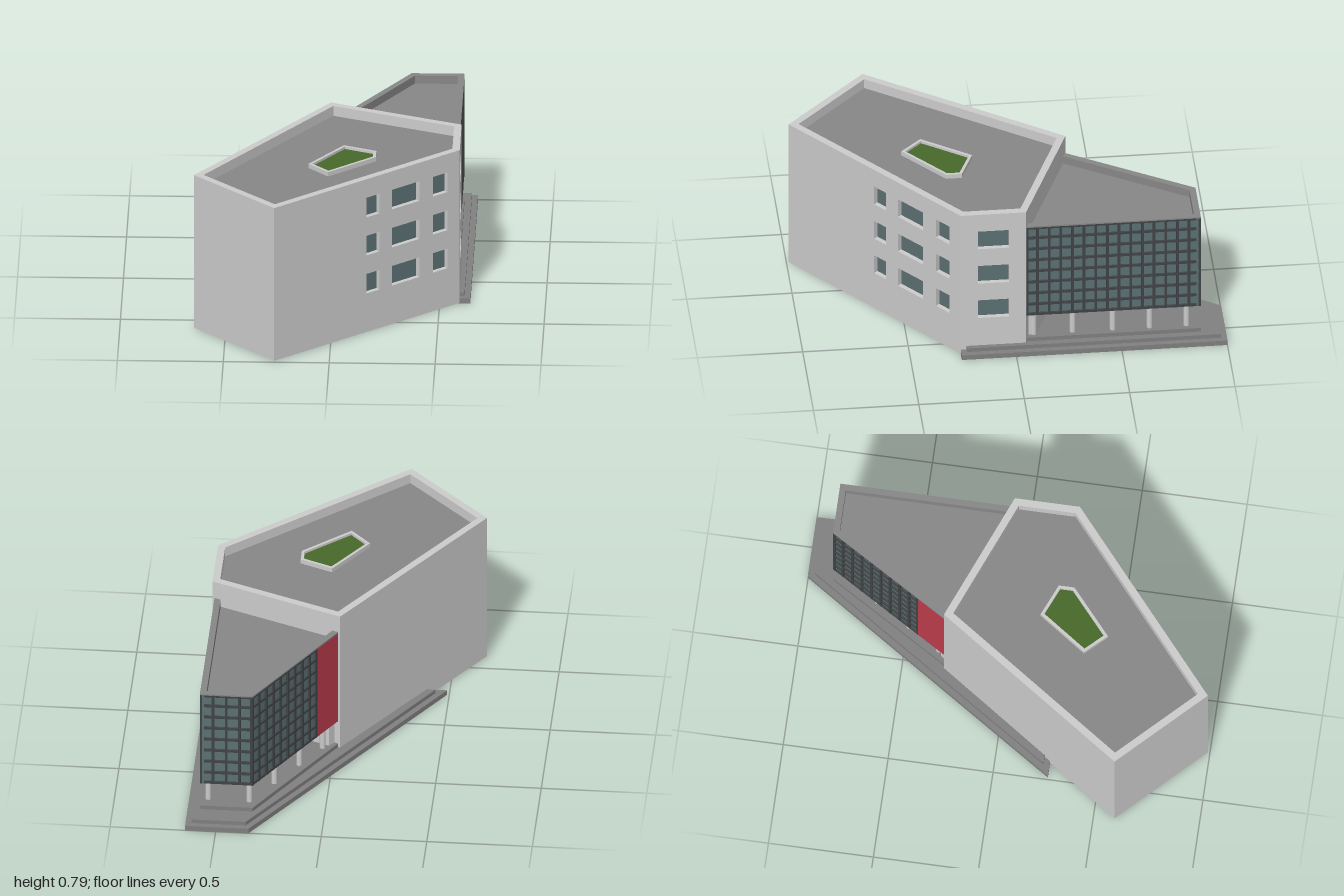
import * as THREE from 'three';

const mat = (color) => new THREE.MeshStandardMaterial({ color });
const wallMat = mat(0xcccccc), roofMat = mat(0x878787), stepMat = mat(0x808080);
const glassMat = mat(0x5c7072), frameMat = mat(0x404446), redMat = mat(0xbc3c4c), greenMat = mat(0x47692a);

// Footprints as [x, z], counter-clockwise seen from above
const BLOCK = [[-0.65, 0.6], [-0.26, 0.99], [0.595, 0.26], [0.595, -0.05], [-0.03, -0.3]];
const WING = [[0.585, 0], [0.585, -0.88], [0.335, -0.88], [-0.04, -0.265]];
const PLAZA = [[-0.49, 0.26], [0.645, 0.26], [0.645, -1], [0.345, -1]];
const GARDEN = [[-0.115, 0.38], [-0.02, 0.48], [0.2, 0.29], [0.2, 0.215], [0.045, 0.15]];

// Move every edge of a convex footprint inward by d
function inset(poly, d) {
  const n = poly.length;
  const edges = poly.map((p, i) => {
    const q = poly[(i + 1) % n];
    const dir = new THREE.Vector2(q[0] - p[0], q[1] - p[1]).normalize();
    return { x: p[0] + dir.y * d, z: p[1] - dir.x * d, dir };
  });
  return edges.map((e, i) => {
    const f = edges[(i + n - 1) % n];
    const t = ((e.x - f.x) * e.dir.y - (e.z - f.z) * e.dir.x) / f.dir.cross(e.dir);
    return [f.x + f.dir.x * t, f.z + f.dir.y * t];
  });
}

const toPoints = (poly) => poly.map(([x, z]) => new THREE.Vector2(x, -z));

function addMesh(parent, name, geometry, material) {
  const mesh = new THREE.Mesh(geometry, material);
  mesh.name = name;
  parent.add(mesh);
  return mesh;
}

// Upright prism over a footprint, optionally hollow
function prism(parent, name, poly, y0, y1, material, hole) {
  const shape = new THREE.Shape(toPoints(poly));
  if (hole) shape.holes.push(new THREE.Path(toPoints(hole)));
  const geo = new THREE.ExtrudeGeometry(shape, { depth: y1 - y0, bevelEnabled: false });
  geo.rotateX(-Math.PI / 2).translate(0, y0, 0);
  return addMesh(parent, name, geo, material);
}

// Group whose x runs from p to q and whose z points out of the building
function facade(parent, name, p, q) {
  const g = new THREE.Group();
  g.name = name;
  g.position.set(p[0], 0, p[1]);
  g.rotation.y = Math.atan2(p[1] - q[1], q[0] - p[0]);
  parent.add(g);
  return { g, length: Math.hypot(q[0] - p[0], q[1] - p[1]) };
}

function box(parent, name, x0, x1, y0, y1, z0, z1, material) {
  const m = addMesh(parent, name, new THREE.BoxGeometry(x1 - x0, y1 - y0, z1 - z0), material);
  m.position.set((x0 + x1) / 2, (y0 + y1) / 2, (z0 + z1) / 2);
}

// Wall with recessed windows; spans are fractions of the wall length
function wall(parent, p, q, spans) {
  const { g, length } = facade(parent, 'wall', p, q);
  const y0 = 0.003, top = 0.785, thick = 0.035;
  const rect = (x0, x1, a, b) => [[x0, a], [x1, a], [x1, b], [x0, b]].map((v) => new THREE.Vector2(...v));
  const shape = new THREE.Shape(rect(0, length, y0, top));
  for (const [a, b] of spans) {
    for (const y of [0.2, 0.395, 0.59]) {
      shape.holes.push(new THREE.Path(rect(a * length, b * length, y, y + 0.1)));
      box(g, 'windowPane', a * length, b * length, y, y + 0.1, -0.034, -0.023, glassMat);
    }
  }
  const geo = new THREE.ExtrudeGeometry(shape, { depth: thick, bevelEnabled: false });
  addMesh(g, 'wallPanel', geo.translate(0, 0, -thick), wallMat);
}

// Glass wall with a grid of mullions
function curtainWall(parent, p, q, cols, rows = 8) {
  const { g, length } = facade(parent, 'curtainWall', p, q);
  const y0 = 0.19, y1 = 0.69, w = 0.006;
  box(g, 'glazing', 0, length, y0, y1, -0.02, -0.01, glassMat);
  for (let i = 0; i <= cols; i++) {
    const x = THREE.MathUtils.clamp((i / cols) * length, w, length - w);
    box(g, 'mullion', x - w, x + w, y0, y1, -0.012, 0, frameMat);
  }
  for (let j = 0; j <= rows; j++) {
    const y = THREE.MathUtils.clamp(y0 + (j / rows) * (y1 - y0), y0 + w, y1 - w);
    box(g, 'transom', 0, length, y - w, y + w, -0.012, -0.001, frameMat);
  }
}

export function createModel() {
  const model = new THREE.Group();
  model.name = 'building';

  // Stepped plaza
  prism(model, 'lowerStep', PLAZA, 0, 0.025, stepMat);
  prism(model, 'middleStep', inset(PLAZA, 0.028), 0.025, 0.045, stepMat);
  prism(model, 'upperStep', WING, 0.045, 0.065, stepMat);

  // Main block: windowed walls rise past the roof as a parapet
  const block = new THREE.Group();
  block.name = 'mainBlock';
  model.add(block);
  const windows = { 1: [[0.497, 0.567], [0.635, 0.782], [0.856, 0.934]], 2: [[0.26, 0.74]] };
  BLOCK.forEach((p, i) => wall(block, p, BLOCK[(i + 1) % BLOCK.length], windows[i] || []));
  prism(block, 'roof', inset(BLOCK, 0.0345), 0.004, 0.735, roofMat);

  // Roof garden
  prism(block, 'gardenRim', GARDEN, 0.73, 0.757, wallMat, inset(GARDEN, 0.014));
  prism(block, 'gardenLawn', inset(GARDEN, 0.013), 0.73, 0.745, greenMat);

  // Raised wing with roof and parapet
  const wing = new THREE.Group();
  wing.name = 'wing';
  model.add(wing);
  prism(wing, 'wingCore', inset(WING, 0.015), 0.19, 0.655, roofMat);
  prism(wing, 'wingParapet', inset(WING, 0.012), 0.65, 0.689, roofMat, inset(WING, 0.03));
  prism(wing, 'wingCoping', WING, 0.688, 0.695, roofMat, inset(WING, 0.03));

  // Glass sides and the red panel beside the main block
  const split = [0.065, -0.437], end = [-0.03, -0.281];
  curtainWall(wing, [0.585, -0.05], WING[1], 15);
  curtainWall(wing, WING[1], WING[2], 4);
  curtainWall(wing, WING[2], split, 9);
  const panel = facade(wing, 'redPanel', split, end);
  box(panel.g, 'redPanelSheet', 0, panel.length, 0.19, 0.689, -0.02, -0.001, redMat);

  // Ground-floor wall under the wing
  prism(model, 'lobbyWall', [[0.56, -0.05], [0.56, -0.1], [0.02, -0.32], [-0.01, -0.28]], 0.06, 0.19, wallMat);

  // Columns along both long sides of the wing
  const columns = [
    ...[-0.09, -0.275, -0.465, -0.64, -0.815].map((z) => [0.55, z]),
    ...[-0.82, -0.655, -0.49, -0.335].map((z) => [0.355 - (z + 0.82) * 0.63, z]),
  ];
  for (const [x, z] of columns) {
    addMesh(model, 'column', new THREE.CylinderGeometry(0.014, 0.014, 0.13, 16), wallMat).position.set(x, 0.128, z);
  }
  return model;
}
